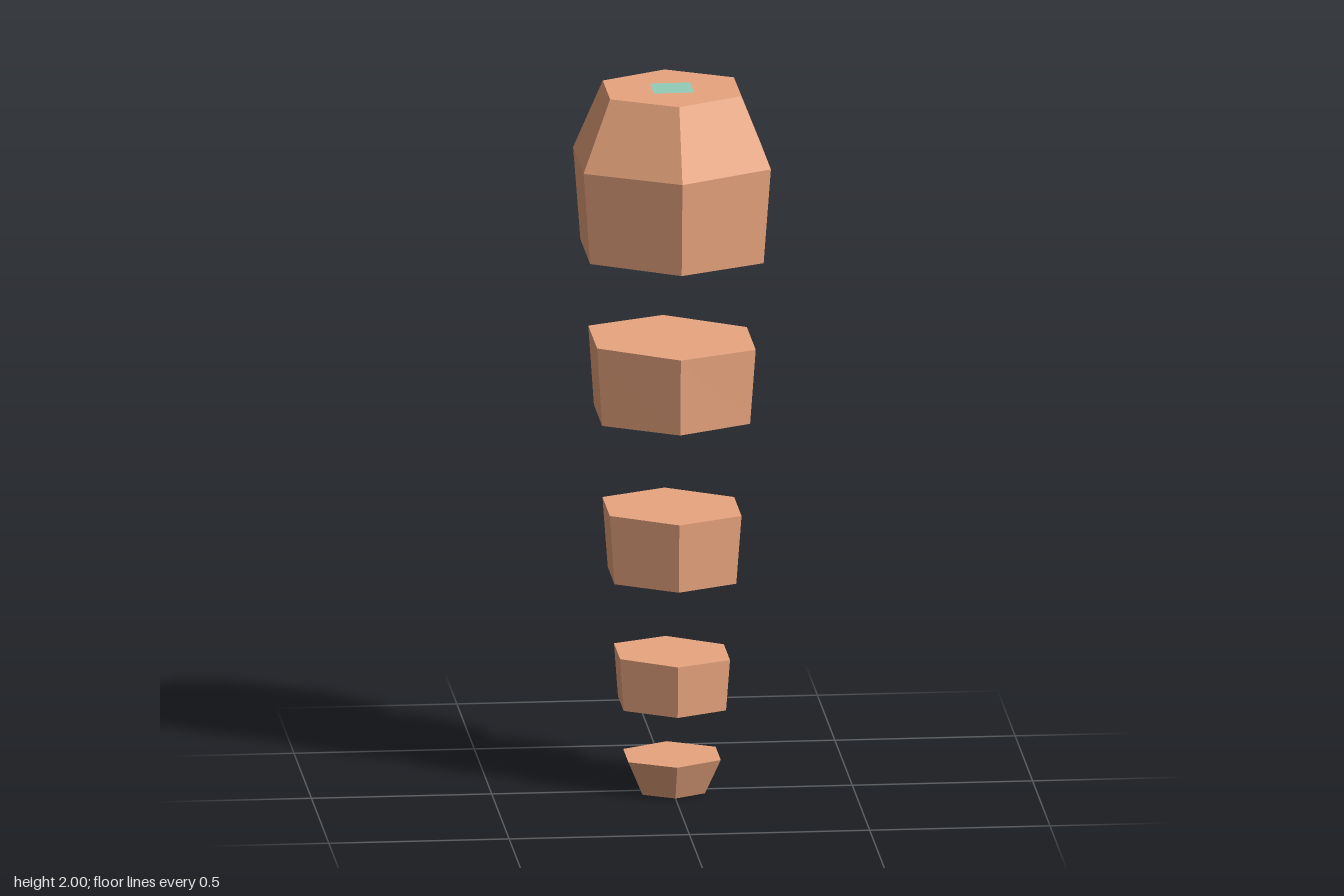
import * as THREE from 'three';

const skin = new THREE.MeshStandardMaterial({ color: 0xe8a57e, flatShading: true });
const teal = new THREE.MeshStandardMaterial({ color: 0x93cdb9 });

// Closed six-sided solid from rings [radius, height, tilt], bottom to top;
// tilt is the rise of the ring per unit of x.
function hexSolid(name, rings) {
  const first = rings[0], last = rings[rings.length - 1];
  const profile = [[0, first[1], first[2]], ...rings, [0, last[1], last[2]]];
  const geometry = new THREE.LatheGeometry(profile.map(([r, y]) => new THREE.Vector2(r, y)), 6);
  const pos = geometry.attributes.position;
  for (let i = 0; i < pos.count; i++) {
    const tilt = profile[i % profile.length][2];
    pos.setY(i, pos.getY(i) + tilt * pos.getX(i));
  }
  const mesh = new THREE.Mesh(geometry, skin);
  mesh.name = name;
  return mesh;
}

export function createModel() {
  const model = new THREE.Group();
  model.name = 'floatingSegments';

  // Tapering stack of separate segments
  model.add(
    hexSolid('tailTip', [[0.1, 0, 0], [0.148, 0.1, 0]]),
    hexSolid('lowerSegment', [[0.164, 0.246, -0.02], [0.176, 0.393, -0.034]]),
    hexSolid('middleSegment', [[0.195, 0.611, -0.02], [0.211, 0.807, -0.025]]),
    hexSolid('upperSegment', [[0.237, 1.07, -0.01], [0.254, 1.288, -0.034]]),
    hexSolid('head', [[0.278, 1.535, -0.02], [0.3, 1.8, 0], [0.21, 1.999, 0]])
  );

  // Small square inlay on the flat top
  const inlay = new THREE.Mesh(new THREE.PlaneGeometry(0.112, 0.112), teal);
  inlay.name = 'topInlay';
  inlay.rotation.x = -Math.PI / 2;
  inlay.position.y = 2;
  model.add(inlay);

  return model;
}
